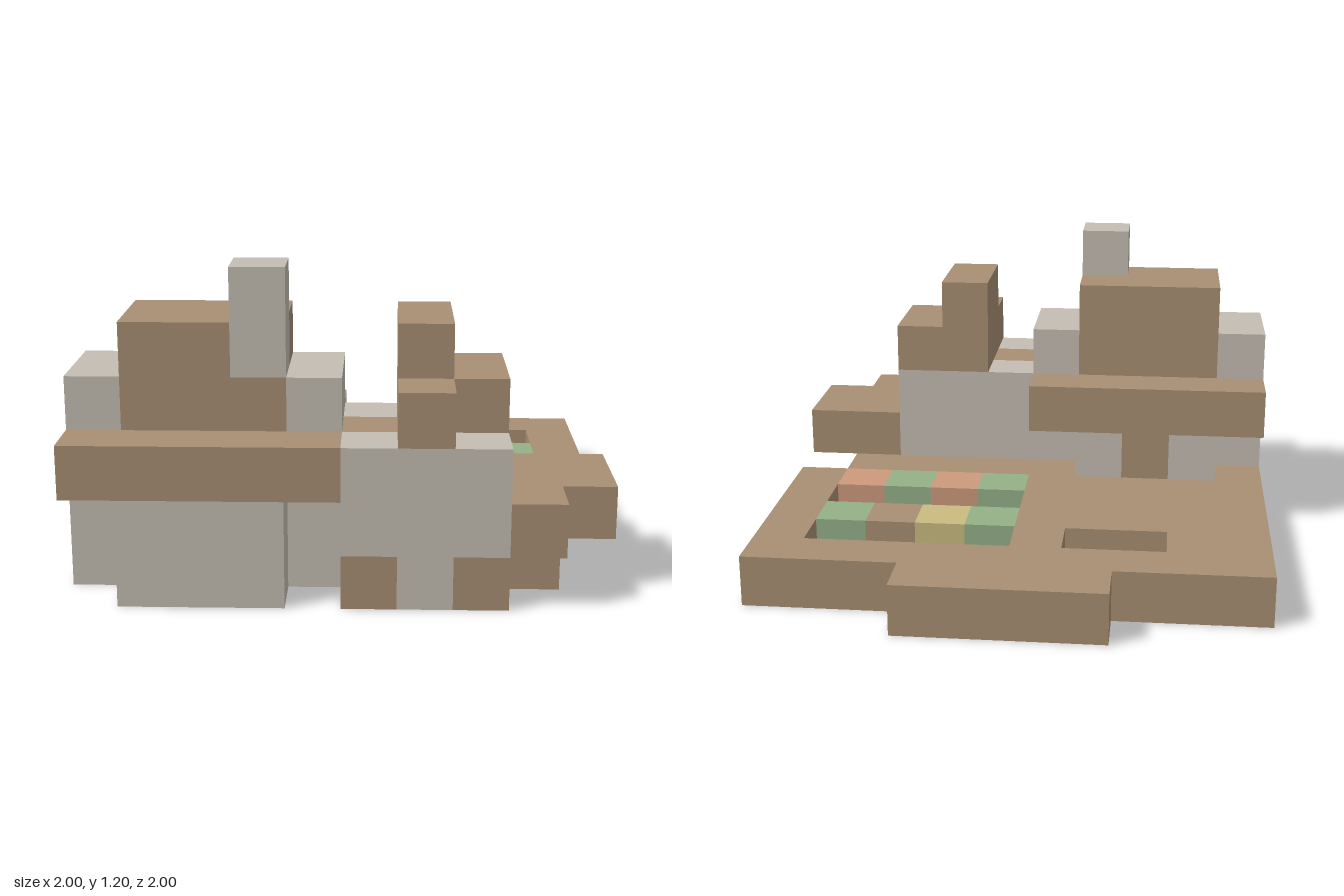
import * as THREE from 'three';
import { mergeGeometries } from 'three/addons/utils/BufferGeometryUtils.js';

const S = 0.2; // edge of one block

const materials = {};
for (const [name, color] of Object.entries({
  timber: 0xa88f73, stone: 0xc4bdb2, leafGreen: 0x95b088, strawYellow: 0xc9bb80, clayRed: 0xcd9a7c,
})) {
  materials[name] = new THREE.MeshStandardMaterial({ color, side: THREE.DoubleSide });
  materials[name].name = name;
}

// The six faces of a block: outward step and a square turned to face that way
const faces = [
  [0, 0, 1, 0, 0], [0, 0, -1, 0, Math.PI], [1, 0, 0, 0, Math.PI / 2],
  [-1, 0, 0, 0, -Math.PI / 2], [0, 1, 0, -Math.PI / 2, 0], [0, -1, 0, Math.PI / 2, 0],
].map(([dx, dy, dz, rx, ry]) => ({
  dx, dy, dz,
  square: new THREE.PlaneGeometry(S, S).translate(0, 0, S / 2).rotateX(rx).rotateY(ry),
}));

export function createModel() {
  const blocks = new Map();
  const key = (x, y, z) => `${x},${y},${z}`;

  // Fill inclusive ranges of block cells; later fills replace earlier ones
  function fill(part, material, [x0, x1], [y0, y1], [z0, z1]) {
    for (let x = x0; x <= x1; x++)
      for (let y = y0; y <= y1; y++)
        for (let z = z0; z <= z1; z++) blocks.set(key(x, y, z), { part, material, x, y, z });
  }
  function clear([x0, x1], z) {
    for (let x = x0; x <= x1; x++) blocks.delete(key(x, 0, z));
  }

  // Yard floor with its openings
  fill('yardFloor', 'timber', [3, 6], [0, 0], [0, 0]);
  fill('yardFloor', 'timber', [0, 9], [0, 0], [1, 5]);
  fill('yardFloor', 'timber', [0, 8], [0, 0], [6, 8]);
  clear([2, 3], 2);
  clear([5, 8], 2);
  clear([5, 8], 4);

  // Planted beds
  ['leafGreen', 'strawYellow', 'timber', 'leafGreen'].forEach((m, i) =>
    fill('backBed', m, [5 + i, 5 + i], [0, 0], [3, 3]));
  ['leafGreen', 'clayRed', 'leafGreen', 'clayRed'].forEach((m, i) =>
    fill('frontBed', m, [5 + i, 5 + i], [0, 0], [5, 5]));

  // Main house walls
  fill('houseWall', 'stone', [0, 4], [0, 3], [8, 8]);
  fill('houseWall', 'stone', [0, 4], [1, 3], [7, 7]);
  fill('houseFrontBay', 'stone', [1, 3], [0, 1], [9, 9]);
  fill('houseBackBay', 'stone', [1, 3], [1, 1], [6, 6]);
  fill('backDoor', 'timber', [2, 2], [1, 1], [6, 6]);

  // Main house roof, eaves and chimney
  fill('houseRoof', 'timber', [1, 3], [3, 4], [7, 8]);
  for (const z of [6, 9]) fill('houseEaves', 'timber', [0, 4], [2, 2], [z, z]);
  fill('chimney', 'stone', [3, 3], [4, 5], [8, 8]);

  // Side house walls with corner footings
  fill('sideHouseWall', 'stone', [5, 7], [0, 2], [9, 9]);
  for (const x of [5, 7]) fill('sideHouseFooting', 'timber', [x, x], [0, 0], [9, 9]);
  fill('sideHouseWall', 'stone', [5, 7], [1, 2], [7, 7]);
  fill('sideHouseBeam', 'timber', [5, 7], [1, 2], [8, 8]);

  // Side house stepped roof
  fill('sideHouseRoof', 'timber', [6, 6], [3, 4], [7, 8]);
  fill('sideHouseRoof', 'timber', [7, 7], [3, 3], [7, 8]);
  fill('sideHouseRoof', 'timber', [6, 6], [3, 3], [9, 9]);

  // Low porch roof at the side
  fill('porch', 'timber', [8, 9], [1, 1], [7, 8]);
  fill('porch', 'timber', [8, 8], [1, 1], [9, 9]);

  // Collect the exposed faces of each part; the underside on the ground stays open
  const shells = new Map();
  for (const { part, material, x, y, z } of blocks.values()) {
    for (const f of faces) {
      if (blocks.has(key(x + f.dx, y + f.dy, z + f.dz)) || y + f.dy < 0) continue;
      const id = `${part}|${material}`;
      if (!shells.has(id)) shells.set(id, []);
      shells.get(id).push(f.square.clone().translate((x - 4.5) * S, (y + 0.5) * S, (z - 4.5) * S));
    }
  }

  const model = new THREE.Group();
  model.name = 'blockHouse';
  for (const [id, squares] of shells) {
    const [part, material] = id.split('|');
    const mesh = new THREE.Mesh(mergeGeometries(squares), materials[material]);
    mesh.name = part;
    model.add(mesh);
  }
  return model;
}
